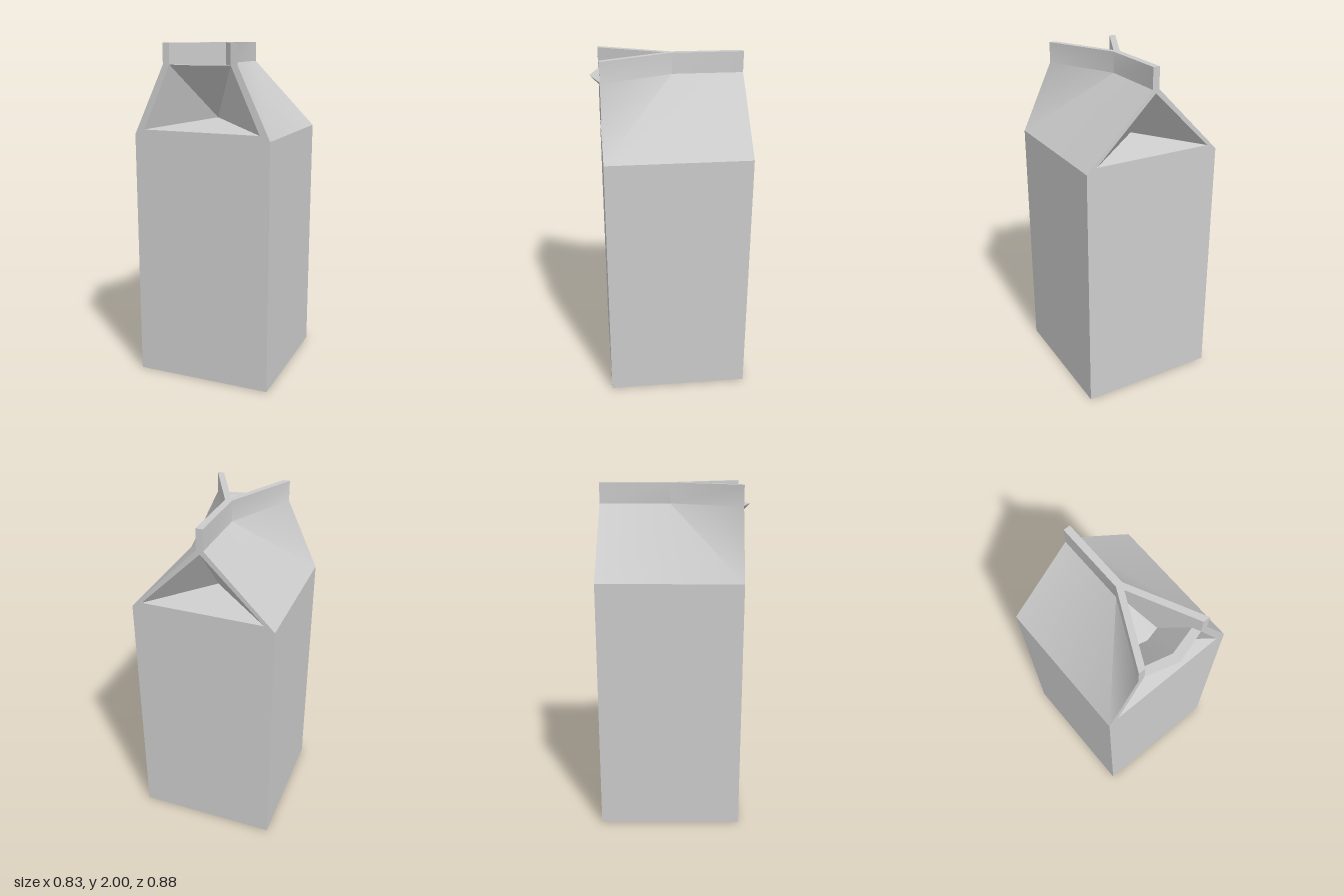
import * as THREE from 'three';
import { toCreasedNormals } from 'three/addons/utils/BufferGeometryUtils.js';

const W = 0.415, BACK = -0.445, FRONT = 0.385;   // body half width, back and front
const EAVE = 1.48, RIDGE = 1.88, TOP = 2;        // heights of the folds

// Corners of the +x half; the other half is mirrored
const P = {
  // outer roof and ridge fin
  eaveBack: [W, EAVE, BACK], eaveFront: [W, EAVE, FRONT],
  ridgeBack: [0.02, RIDGE, BACK], ridgeMid: [0.02, RIDGE, -0.03], ridgeFront: [0.225, RIDGE, FRONT],
  topBack: [0.02, TOP, BACK], topMid: [0.02, TOP, -0.03], topFront: [0.225, TOP, FRONT],
  topCentre: [0, TOP, BACK],
  // inside of the opened fin
  inTopMid: [0, TOP, 0.01], inTopFront: [0.185, TOP, FRONT],
  inMid: [0, RIDGE, 0.01], inFront: [0.185, RIDGE, FRONT],
  // front fold and pouring lip
  baseFront: [0, EAVE, FRONT], sillFront: [0, 1.51, FRONT], cornerFront: [0.355, 1.51, FRONT],
  tipFront: [0, 1.57, 0.13], lip: [0, RIDGE, 0.44],
  lipIn: [0, RIDGE, 0.383], lipSide: [0.165, RIDGE, 0.34],
  wellCentre: [0, 1.7, 0.2], wellSide: [0.085, 1.7, 0.18],
  // back fold
  baseBack: [0, EAVE, BACK], sillBack: [0, 1.51, BACK], cornerBack: [0.355, 1.51, BACK],
  peakBack: [0, 1.86, BACK], tipBack: [0, 1.57, -0.19],
};

// Mesh from convex faces listed by corner names, mirrored across x = 0
function foldedPart(name, faces, material) {
  const pos = [];
  for (const side of [1, -1]) {
    for (const face of faces) {
      const pts = face.split(' ').map((k) => [P[k][0] * side, P[k][1], P[k][2]]);
      if (side < 0) pts.reverse();
      for (let i = 1; i < pts.length - 1; i++) pos.push(...pts[0], ...pts[i], ...pts[i + 1]);
    }
  }
  const geo = new THREE.BufferGeometry();
  geo.setAttribute('position', new THREE.Float32BufferAttribute(pos, 3));
  const mesh = new THREE.Mesh(toCreasedNormals(geo, 0.56), material);
  mesh.name = name;
  return mesh;
}

export function createModel() {
  const group = new THREE.Group();
  group.name = 'carton';
  const card = new THREE.MeshStandardMaterial({ color: 0xcccccc, side: THREE.DoubleSide });

  // Square body
  const body = new THREE.Mesh(new THREE.BoxGeometry(2 * W, EAVE, FRONT - BACK), card);
  body.position.set(0, EAVE / 2, (FRONT + BACK) / 2);
  body.name = 'body';
  group.add(body);

  // Sloping roof panels with the upright fin, spread open at the front
  group.add(foldedPart('roofPanels', [
    'eaveFront eaveBack ridgeBack ridgeMid',
    'eaveFront ridgeMid ridgeFront',
    'ridgeMid ridgeBack topBack topMid',
    'ridgeFront ridgeMid topMid topFront',
  ], card));

  // Thick edges and inner faces of the fin
  group.add(foldedPart('finEdges', [
    'topCentre inTopMid topMid topBack',
    'inTopMid inTopFront topFront topMid',
    'inMid inFront inTopFront inTopMid',
    'ridgeFront topFront inTopFront inFront',
  ], card));

  // Front gable edge
  group.add(foldedPart('frontGable', [
    'eaveFront ridgeFront inFront cornerFront',
    'baseFront eaveFront cornerFront sillFront',
  ], card));

  // Tucked front fold below the spout
  group.add(foldedPart('frontFold', [
    'sillFront cornerFront tipFront',
    'cornerFront inFront tipFront',
    'inFront lip tipFront',
  ], card));

  // Lip and well of the spout
  group.add(foldedPart('spout', [
    'lip inFront lipSide lipIn',
    'lipIn lipSide wellSide wellCentre',
    'inMid wellSide lipSide',
    'inMid wellCentre wellSide',
  ], card));

  // Back gable edge
  group.add(foldedPart('backGable', [
    'sillBack cornerBack eaveBack baseBack',
    'cornerBack peakBack ridgeBack eaveBack',
    'peakBack topCentre topBack ridgeBack',
  ], card));

  // Tucked back fold
  group.add(foldedPart('backFold', [
    'sillBack tipBack cornerBack',
    'peakBack cornerBack tipBack',
  ], card));

  return group;
}
